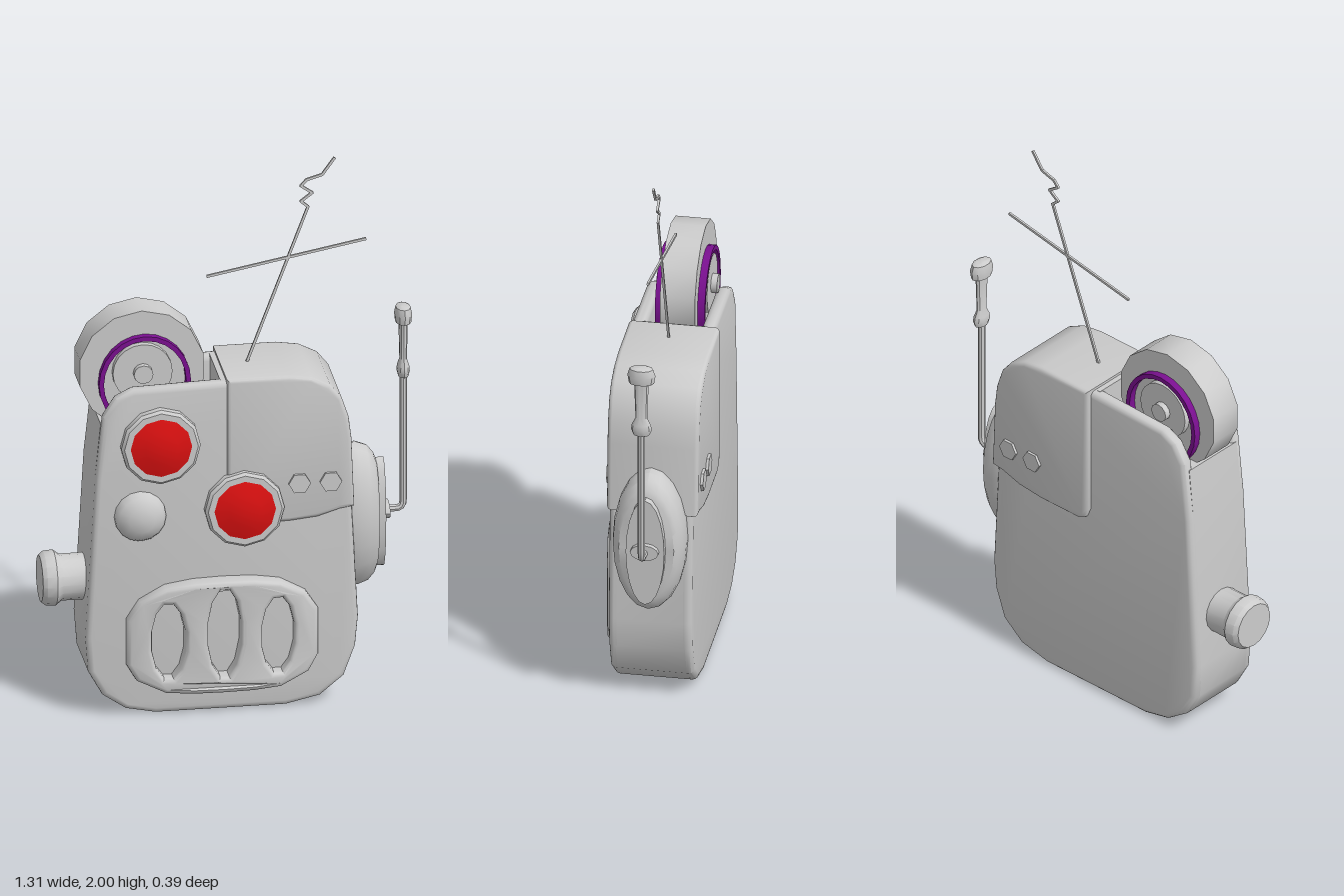
import * as THREE from 'three';
import { toCreasedNormals } from 'three/addons/utils/BufferGeometryUtils.js';

const grey = new THREE.MeshStandardMaterial({ color: 0xcccccc });
const red = new THREE.MeshStandardMaterial({ color: 0xdd1111 });
const purple = new THREE.MeshStandardMaterial({ color: 0x7a1090 });
const MID = -0.02; // z of the side fittings and aerials

export function createModel() {
  const model = new THREE.Group();

  const add = (name, geo, mat = grey, x = 0, y = 0, z = 0) => {
    const mesh = new THREE.Mesh(toCreasedNormals(geo, 0.65), mat);
    mesh.name = name;
    mesh.position.set(x, y, z);
    model.add(mesh);
    return mesh;
  };
  const shapeOf = (pts) => new THREE.Shape(pts.map(([x, y]) => new THREE.Vector2(x, y)));
  // extrusion filling z0..z1 exactly, with its edges bevelled inwards
  const slab = (shape, z0, z1, bevel = 0) => new THREE.ExtrudeGeometry(shape, {
    depth: z1 - z0 - 2 * bevel, bevelEnabled: bevel > 0, bevelThickness: bevel,
    bevelSize: bevel, bevelOffset: -bevel, bevelSegments: 3,
  }).translate(0, 0, z0 + bevel);
  // turned part: [radius, distance] pairs along the x, y or z axis
  const turned = (pts, seg, axis = 'z') => {
    const geo = new THREE.LatheGeometry(pts.map(([r, d]) => new THREE.Vector2(r, d)), seg);
    if (axis === 'z') geo.rotateX(Math.PI / 2);
    if (axis === 'x') geo.rotateZ(-Math.PI / 2);
    return geo;
  };
  const disc = (r, d0, d1) => [[0, d0], [r, d0], [r, d1], [0, d1]];

  // body: front and back shells around a core that is notched for the wheel
  const lower = [[-0.48, 0.9], [-0.515, 0.3], [-0.505, 0.17], [-0.455, 0.08], [-0.375, 0.025], [-0.27, 0.003],
    [0.19, 0.003], [0.31, 0.03], [0.395, 0.1], [0.435, 0.21], [0.445, 0.32], [0.42, 0.8], [0.41, 1.05],
    [0.38, 1.15], [0.31, 1.22], [0.2, 1.243]];
  const outline = shapeOf([...lower, [-0.02, 1.24], [-0.35, 1.23], [-0.41, 1.2], [-0.455, 1.13]]);
  add('bodyFront', slab(outline, 0.08, 0.13, 0.02));
  add('bodyBack', slab(outline, -0.165, -0.115, 0.02));
  add('bodyCore', slab(shapeOf([...lower, [-0.04, 1.24], [-0.04, 1.1], [-0.46, 1.1]]), -0.14, 0.105));

  // cover plate wrapped over one upper corner
  add('cornerCover', slab(shapeOf([[-0.02, 1.25], [-0.02, 0.75], [-0.005, 0.715], [0.03, 0.7], [0.2, 0.7],
    [0.3, 0.71], [0.38, 0.735], [0.43, 0.742], [0.42, 1.0], [0.41, 1.08], [0.385, 1.155], [0.345, 1.205],
    [0.28, 1.238], [0.2, 1.25]]), -0.185, 0.138, 0.015));
  for (const x of [0.235, 0.345]) {
    add('coverBolt', turned(disc(0.039, -0.195, 0.148), 6).rotateZ(Math.PI / 6 * 3), grey, x, 0.845);
  }

  // eyes
  for (const [x, y] of [[-0.255, 1.02], [0.04, 0.765]]) {
    add('eyeRing', turned([[0, 0.12], [0.14, 0.12], [0.14, 0.155], [0.13, 0.165], [0, 0.165]], 12), grey, x, y);
    add('eyeLens', turned([[0.112, 0.164], [0.06, 0.178], [0, 0.186]], 12), red, x, y);
  }

  // nose dome
  add('nose', turned([[0.092, 0.125], [0.09, 0.145], [0.078, 0.163], [0.045, 0.18], [0, 0.186]], 16), grey, -0.325, 0.755);

  // mouth: plate with three slots, bowed forward in the middle
  const mouth = shapeOf([[-0.375, 0.2], [-0.34, 0.14], [-0.24, 0.095], [-0.14, 0.09], [-0.035, 0.09], [0.07, 0.09],
    [0.165, 0.095], [0.265, 0.14], [0.3, 0.2], [0.3, 0.37], [0.255, 0.44], [0.165, 0.49], [0.07, 0.505],
    [-0.035, 0.508], [-0.14, 0.505], [-0.24, 0.49], [-0.33, 0.44], [-0.375, 0.37]]);
  for (const [x, y, h] of [[-0.23, 0.29, 0.145], [-0.035, 0.313, 0.17], [0.155, 0.29, 0.145]]) {
    const slot = [];
    for (let i = 0; i < 12; i++) {
      const a = -(i + 0.5) * Math.PI / 6;
      slot.push(new THREE.Vector2(x + 0.06 * Math.cos(a), y + h * Math.sin(a)));
    }
    mouth.holes.push(new THREE.Path(slot));
  }
  const mouthGeo = slab(mouth, 0.1, 0.195, 0.016);
  const p = mouthGeo.attributes.position;
  for (let i = 0; i < p.count; i++) {
    if (p.getZ(i) > 0.15) p.setZ(i, p.getZ(i) - 0.04 * ((p.getX(i) + 0.037) / 0.34) ** 2);
  }
  add('mouth', mouthGeo);

  // wheel in the top slot, alike on both faces
  const wx = -0.305, wy = 1.267, wz = -0.022;
  add('wheel', turned(disc(0.223, -0.062, 0.062), 14), grey, wx, wy, wz);
  add('wheelPlate', turned(disc(0.105, -0.085, 0.085), 20), grey, wx, wy, wz);
  add('wheelHub', turned(disc(0.034, -0.107, 0.107), 12), grey, wx, wy, wz);
  const ring = new THREE.Shape().absellipse(0, 0, 0.162, 0.175, 0, Math.PI * 2);
  ring.holes.push(new THREE.Path().absellipse(0, 0, 0.145, 0.158, 0, Math.PI * 2));
  for (const z of [-0.088, 0.06]) add('wheelRing', slab(ring, z, z + 0.028), purple, -0.297, 1.228, wz);

  // side knob
  add('sideKnob', turned([[0, -0.655], [0.083, -0.655], [0.095, -0.64], [0.098, -0.605], [0.082, -0.583],
    [0.082, -0.48]], 16, 'x'), grey, 0, 0.477, MID);

  // oval ear with a raised centre and a stub
  add('ear', turned([[0.9, 0.38], [1, 0.41], [1, 0.46], [0.95, 0.495], [0.85, 0.518], [0.75, 0.528], [0, 0.528]], 20, 'x')
    .scale(1, 0.267, 0.13), grey, 0, 0.652, MID);
  add('earPlate', turned(disc(1, 0.5, 0.555), 20, 'x').scale(1, 0.205, 0.068), grey, 0, 0.652, MID);
  add('earStub', turned(disc(1, 0.54, 0.573), 12, 'x').scale(1, 0.03, 0.05), grey, 0, 0.66, MID);

  // bent rod rising from the ear, with a collar and knob
  const rod = new THREE.CurvePath();
  const v = (x, y) => new THREE.Vector3(x, y, MID);
  rod.add(new THREE.LineCurve3(v(0.56, 0.66), v(0.6, 0.66)));
  rod.add(new THREE.QuadraticBezierCurve3(v(0.6, 0.66), v(0.625, 0.66), v(0.625, 0.69)));
  rod.add(new THREE.LineCurve3(v(0.625, 0.69), v(0.625, 1.18)));
  add('earRod', new THREE.TubeGeometry(rod, 48, 0.013, 8));
  add('earRodTip', turned([[0, 1.16], [0.018, 1.16], [0.023, 1.18], [0.021, 1.2], [0.013, 1.225], [0.016, 1.36],
    [0.028, 1.365], [0.031, 1.395], [0.026, 1.42], [0.015, 1.427], [0, 1.427]], 10, 'y').scale(1, 1, 1.6), grey, 0.625, 0, MID);

  // thin aerial with a jagged tip and a crossbar
  const wire = (name, pts) => {
    for (let i = 1; i < pts.length; i++) {
      const [x0, y0] = pts[i - 1], [x1, y1] = pts[i];
      const geo = new THREE.BoxGeometry(Math.hypot(x1 - x0, y1 - y0) + 0.004, 0.009, 0.008);
      add(name, geo, grey, (x0 + x1) / 2, (y0 + y1) / 2, MID).rotation.z = Math.atan2(y1 - y0, x1 - x0);
    }
  };
  wire('aerial', [[0.07, 1.235], [0.29, 1.82], [0.265, 1.842], [0.305, 1.872], [0.265, 1.9], [0.285, 1.922],
    [0.34, 1.938], [0.383, 1.998]]);
  wire('aerialCrossbar', [[-0.065, 1.58], [0.493, 1.685]]);

  return model;
}
